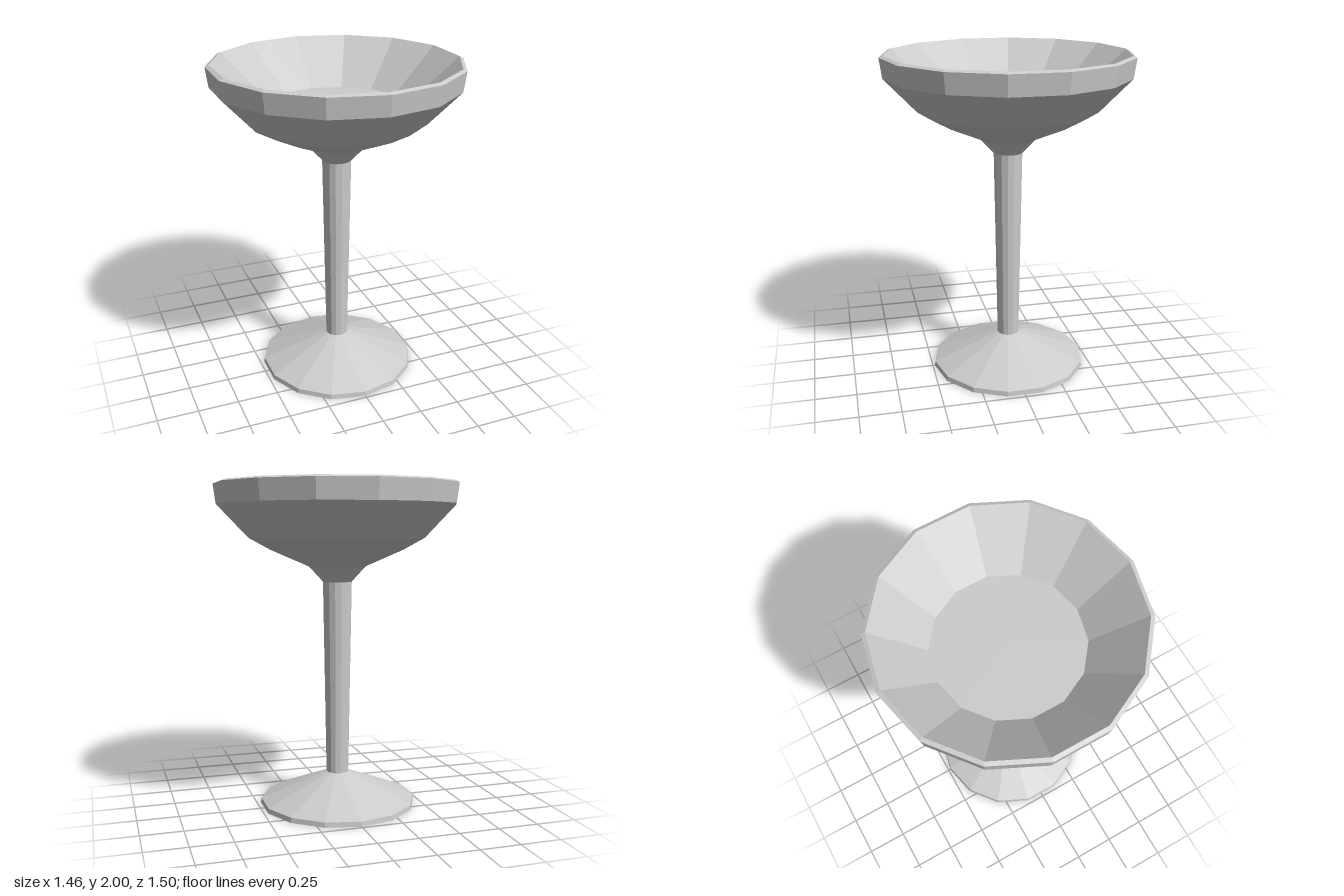
import * as THREE from 'three';

const SIDES = 14;

export function createModel() {
  const group = new THREE.Group();
  const material = new THREE.MeshStandardMaterial({ color: 0xcccccc, flatShading: true });

  // Faceted turned part from [radius, height] pairs, listed from the outside bottom upwards
  function turned(name, profile) {
    const points = profile.map(([r, y]) => new THREE.Vector2(r, y));
    const mesh = new THREE.Mesh(new THREE.LatheGeometry(points, SIDES), material);
    mesh.name = name;
    group.add(mesh);
  }

  // Conical foot with a thin edge and a closed underside
  turned('foot', [[0, 0], [0.487, 0], [0.483, 0.03], [0.069, 0.2]]);

  // Stem, widening slightly towards the bowl
  turned('stem', [[0.069, 0.2], [0.089, 1.4]]);

  // Bowl: neck and outer wall, bevelled lip, sloping inner wall, flat floor
  turned('bowl', [
    [0.089, 1.4], [0.175, 1.493], [0.41, 1.595], [0.542, 1.668], [0.734, 1.87],
    [0.75, 1.99], [0.727, 2], [0.432, 1.73], [0, 1.73],
  ]);

  return group;
}
